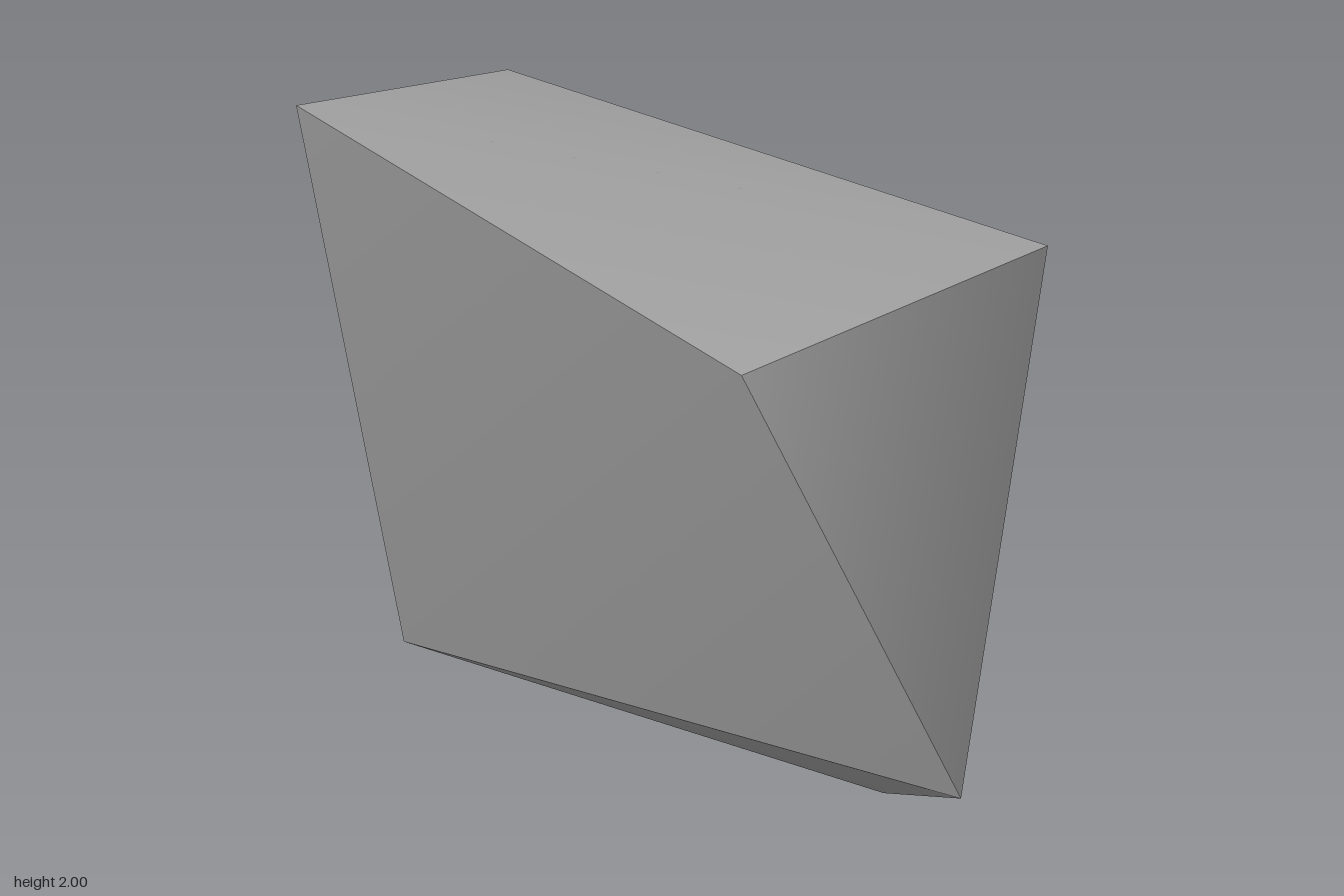
import * as THREE from 'three';

// corners of the skewed block
const P = {
  topLeftFront: [-0.75, 2, 0.54],
  topRightFront: [0.375, 1.585, 0.64],
  topRightBack: [0.745, 1.615, -0.275],
  topLeftBack: [-0.70, 1.81, -0.385],
  lowLeftFront: [-0.70, 0.525, 0.245],
  lowRightFront: [0.745, 0.395, 0.19],
  lowRightBack: [0.33, 0, -0.395],
  lowLeftBack: [-0.51, 0.395, -0.57],
  backBulge: [-0.145, 1.235, -0.64],
};

// one bent side: triangles fanned from the first corner, smooth within the side
function side(name, material, corners, closed = false) {
  const pts = corners.map((c) => new THREE.Vector3(...P[c]));
  const centre = new THREE.Vector3(0, 1, 0);
  const index = [];
  const n = pts.length;
  for (let i = 1; i < (closed ? n : n - 1); i++) {
    const j = i + 1 < n ? i + 1 : 1;
    const normal = pts[i].clone().sub(pts[0]).cross(pts[j].clone().sub(pts[0]));
    const outward = normal.dot(pts[0].clone().sub(centre)) > 0;
    index.push(0, ...(outward ? [i, j] : [j, i]));
  }
  const geometry = new THREE.BufferGeometry().setFromPoints(pts);
  geometry.setIndex(index);
  geometry.computeVertexNormals();
  const mesh = new THREE.Mesh(geometry, material);
  mesh.name = name;
  return mesh;
}

export function createModel() {
  const stone = new THREE.MeshStandardMaterial({ color: 0xa0a0a0 });
  stone.name = 'stone grey';

  const rock = new THREE.Group();
  rock.name = 'rock';
  rock.add(
    side('frontSide', stone, ['topRightFront', 'topLeftFront', 'lowLeftFront', 'lowRightFront']),
    side('topSide', stone, ['topLeftFront', 'topRightFront', 'topRightBack', 'topLeftBack']),
    side('leftSide', stone, ['topRightBack', 'topRightFront', 'lowRightFront', 'lowRightBack']),
    side('rightSide', stone, ['topLeftBack', 'topLeftFront', 'lowLeftFront', 'lowLeftBack']),
    side('bottomSide', stone, ['lowLeftFront', 'lowRightFront', 'lowRightBack', 'lowLeftBack']),
    // the back swells out around a middle point
    side('backSide', stone, ['backBulge', 'topLeftBack', 'topRightBack', 'lowRightBack', 'lowLeftBack'], true),
  );
  return rock;
}
